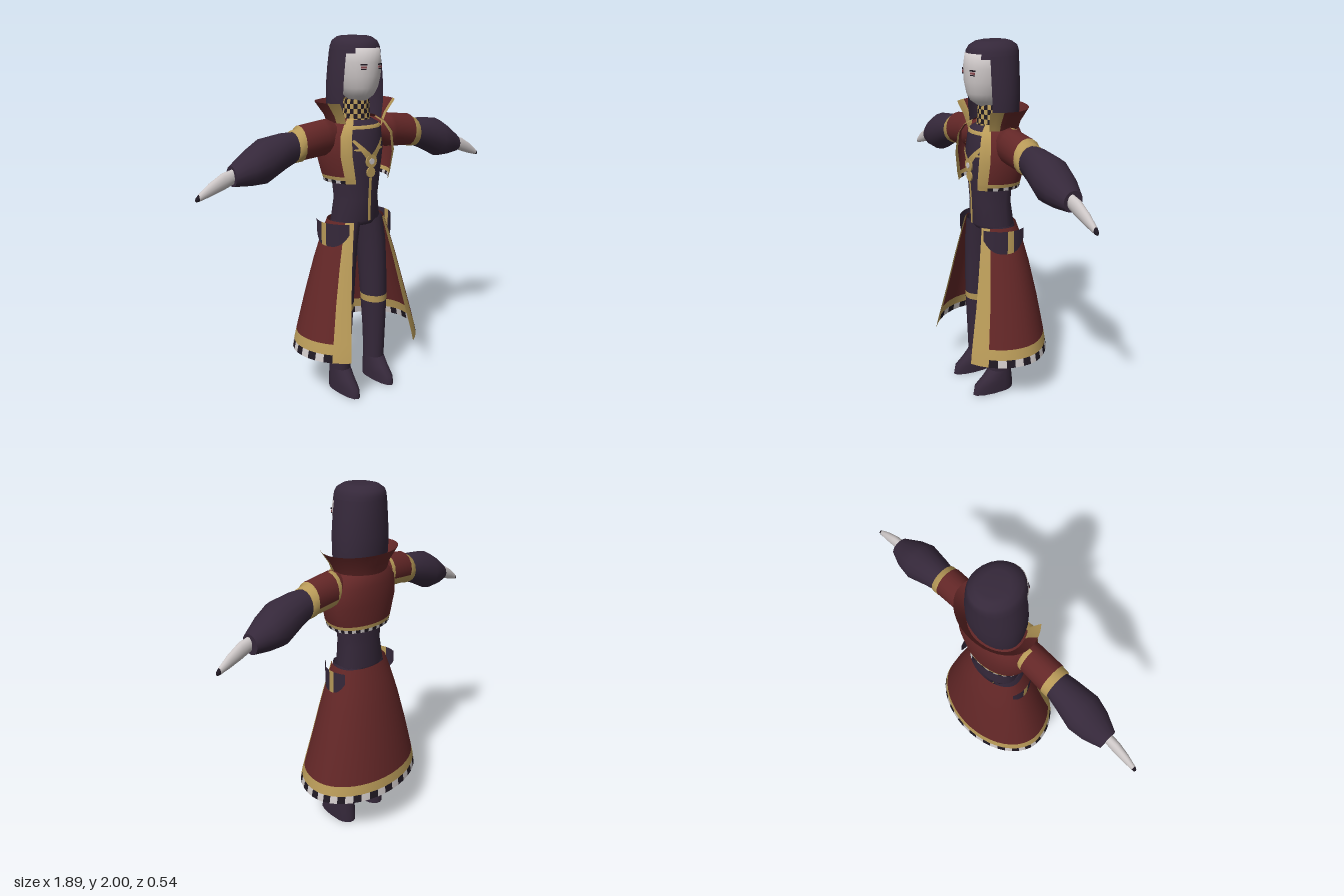
import * as THREE from 'three';

const D = Math.PI / 180;
const mat = (name, color) => {
  const m = new THREE.MeshStandardMaterial({ color, side: THREE.DoubleSide });
  m.name = name;
  return m;
};
const M = {
  dark: mat('dark purple cloth', 0x35283a),
  red: mat('deep red cloth', 0x632727),
  gold: mat('gold trim', 0xb89a58),
  pale: mat('pale skin', 0xccc6c6),
  ink: mat('near black', 0x1f1822),
  rouge: mat('eye red', 0x8a4a50),
};

// Grid surface: nu columns, nv rows, one colour per cell
function surf(name, nu, nv, point, color, { closed = false, flip = false } = {}) {
  const cols = closed ? nu : nu + 1, pos = [], buckets = {};
  for (let j = 0; j <= nv; j++) for (let i = 0; i < cols; i++) pos.push(...point(i / nu, j));
  for (let j = 0; j < nv; j++) for (let i = 0; i < nu; i++) {
    const a = j * cols + i, b = j * cols + (i + 1) % cols, c = b + cols, d = a + cols;
    const key = typeof color === 'string' ? color : color(i, j);
    (buckets[key] ??= []).push(...(flip ? [a, c, b, a, d, c] : [a, b, c, a, c, d]));
  }
  const g = new THREE.BufferGeometry(), keys = Object.keys(buckets), index = [];
  g.setAttribute('position', new THREE.Float32BufferAttribute(pos, 3));
  keys.forEach((k, n) => {
    g.addGroup(index.length, buckets[k].length, n);
    index.push(...buckets[k]);
  });
  g.setIndex(index);
  g.computeVertexNormals();
  const mesh = new THREE.Mesh(g, keys.map(k => M[k]));
  mesh.name = name;
  return mesh;
}

// Upright shell; rows from bottom to top are [y, half width, front depth, back depth]
function shell(name, rows, color, { a0 = 0, a1 = 360, n = 20, cx = 0, cz = 0, flip = false } = {}) {
  const closed = a1 - a0 === 360;
  return surf(name, n, rows.length - 1, (u, j) => {
    const t = (a0 + (a1 - a0) * u) * D, [y, rx, rf, rb, dx = 0] = rows[j], c = Math.cos(t);
    return [cx + dx + rx * Math.sin(t), y, cz + c * (c > 0 ? rf : rb)];
  }, color, { closed, flip });
}

// Sideways tube; rows outwards are [x, centre y, half height, half depth]
function limb(name, s, rows, color, cz = 0.022) {
  return surf(name, 16, rows.length - 1, (u, j) => {
    const [x, y, ry, rz] = rows[j], t = u * 360 * D;
    return [s * x, y + ry * Math.cos(t), cz + rz * Math.sin(t)];
  }, color, { closed: true, flip: s < 0 });
}

const TORSO = [
  [0.98, 0, 0, 0], [1.0, 0.13, 0.11, 0.08], [1.03, 0.145, 0.135, 0.095], [1.15, 0.127, 0.135, 0.078],
  [1.3, 0.145, 0.145, 0.08], [1.42, 0.16, 0.152, 0.09], [1.53, 0.15, 0.135, 0.085],
  [1.548, 0.14, 0.125, 0.08], [1.585, 0.07, 0.08, 0.05],
];
function torsoZ(x, y) {
  const k = Math.max(1, TORSO.findIndex(r => r[0] >= y)), a = TORSO[k - 1], b = TORSO[k];
  const f = (y - a[0]) / (b[0] - a[0]), rx = a[1] + (b[1] - a[1]) * f, rf = a[2] + (b[2] - a[2]) * f;
  return rf * Math.sqrt(Math.max(0, 1 - (x / rx) ** 2));
}
// Painted ribbon following the chest
function ribbon(name, ax, ay, bx, by, w0, w1 = w0) {
  const l = Math.hypot(bx - ax, by - ay), nx = (by - ay) / l, ny = -(bx - ax) / l;
  return surf(name, 2, 6, (u, j) => {
    const f = j / 6, w = (w0 + (w1 - w0) * f) * (u - 0.5);
    const x = ax + (bx - ax) * f + nx * w, y = ay + (by - ay) * f + ny * w;
    return [x, y, torsoZ(x, y) + 0.005];
  }, 'gold');
}
function plate(name, x, y, z, w, h, m, ry = 0) {
  const p = new THREE.Mesh(new THREE.BoxGeometry(w, h, 0.006), M[m]);
  p.position.set(x, y, z);
  p.rotation.y = ry;
  p.name = name;
  return p;
}

export function createModel() {
  const root = new THREE.Group();
  root.name = 'robedFigure';
  const add = (...m) => root.add(...m);
  const open = { a0: 35, a1: 325, n: 35 };
  const edge = i => i < 2 || i > 32;
  const check = i => (i % 2 ? 'pale' : 'ink');

  // Body, neckline and patterned neck
  add(shell('torso', TORSO, (i, j) => (j === 6 ? 'gold' : 'dark')));
  add(shell('neck', [[1.55, 0.085, 0.085, 0.06], [1.58, 0.08, 0.078, 0.06], [1.605, 0.076, 0.075, 0.06],
    [1.63, 0.074, 0.074, 0.06], [1.655, 0.074, 0.074, 0.06], [1.68, 0.07, 0.07, 0.06]],
  (i, j) => ((i + j) % 2 ? 'gold' : 'ink'), { cz: 0.015, n: 24 }));

  // Chest ornament and front fastening
  add(ribbon('fastening', 0, 1.03, 0, 1.27, 0.018));
  for (const s of [1, -1]) {
    const a = ribbon('chestBranch', s * 0.015, 1.385, s * 0.095, 1.475, 0.036, 0.014);
    const b = ribbon('chestTwig', s * 0.05, 1.425, s * 0.095, 1.425, 0.018, 0.006);
    add(a, b);
  }
  for (const [y, r, m, dz] of [[1.36, 0.036, 'gold', 0], [1.36, 0.016, 'pale', 0.004], [1.3, 0.028, 'gold', 0]]) {
    const p = new THREE.Mesh(new THREE.CylinderGeometry(r, r, 0.008, 12).rotateX(Math.PI / 2), M[m]);
    p.position.set(0, y, torsoZ(0, y) + 0.004 + dz);
    p.name = 'pendant';
    add(p);
  }

  // Short open jacket and flared collar
  add(shell('jacket', [[1.25, 0.185, 0.195, 0.12], [1.268, 0.19, 0.197, 0.122], [1.288, 0.198, 0.2, 0.124],
    [1.4, 0.23, 0.2, 0.135], [1.5, 0.222, 0.185, 0.135], [1.555, 0.175, 0.155, 0.12], [1.585, 0.12, 0.11, 0.1]],
  (i, j) => (edge(i) || j === 1 ? 'gold' : j === 0 ? check(i) : 'red'), open));
  add(shell('collar', [[1.53, 0.145, 0.15, 0.115], [1.6, 0.175, 0.17, 0.13], [1.67, 0.228, 0.2, 0.165]],
    i => (i < 2 || i > 23 ? 'gold' : 'red'), { a0: 52, a1: 308, n: 26 }));

  // Long open coat skirt with gold borders and checked hem
  add(shell('coatSkirt', [[0.29, 0.39, 0.335, 0.27], [0.333, 0.38, 0.327, 0.264], [0.39, 0.365, 0.313, 0.256],
    [0.6, 0.308, 0.258, 0.22], [0.8, 0.25, 0.213, 0.177], [0.92, 0.21, 0.185, 0.145], [1.03, 0.17, 0.16, 0.105]],
  (i, j) => (edge(i) || j === 1 ? 'gold' : j === 0 ? check(i) : 'red'), open));

  for (const s of [1, -1]) {
    const flip = s < 0;
    // Hip panels with rounded lower edge
    add(surf('hipPanel', 13, 2, (u, j) => {
      const t = (38 + 74 * u) * D, low = 0.9 + 0.07 * Math.abs(2 * u - 1) ** 3;
      const y = low + (1.03 - low) * j / 2;
      return [s * 0.222 * Math.sin(t), y, Math.cos(t) * 0.18];
    }, i => (i === 7 || i === 8 ? 'gold' : 'dark'), { flip }));

    // Legs with knee band
    const leg = [[0.14, 0.058, 0.075, 0.06, 0.125], [0.3, 0.063, 0.08, 0.063, 0.125], [0.505, 0.073, 0.088, 0.075, 0.122],
      [0.545, 0.075, 0.09, 0.078, 0.121], [0.75, 0.077, 0.094, 0.09, 0.11], [0.9, 0.076, 0.098, 0.1, 0.098],
      [1.03, 0.07, 0.1, 0.105, 0.075]];
    add(shell('leg', leg.map(r => [...r.slice(0, 4), s * r[4]]), (i, j) => (j === 2 ? 'gold' : 'dark'),
      { n: 16, cz: 0.025 }));

    // Boots
    add(shell('boot', [[0, 0, 0, 0], [0, 0.055, 0.185, 0.075], [0, 0.055, 0.185, 0.075], [0.05, 0.057, 0.175, 0.072],
      [0.09, 0.058, 0.125, 0.067], [0.14, 0.058, 0.075, 0.06]], 'dark', { n: 16, cx: s * 0.125, cz: 0.025 }));

    // Short red sleeve with gold band
    add(limb('shoulderSleeve', s, [[0.13, 1.495, 0.06, 0.06], [0.2, 1.493, 0.095, 0.075], [0.225, 1.491, 0.094, 0.077],
      [0.365, 1.478, 0.09, 0.08], [0.365, 1.468, 0.085, 0.08], [0.403, 1.463, 0.083, 0.08], [0.403, 1.463, 0.06, 0.06]],
    (i, j) => (j > 2 || (j === 1 && i > 6) || (j === 2 && (i === 9 || i === 10)) ? 'gold' : 'red')));

    // Full lower sleeve
    add(limb('lowerSleeve', s, [[0.39, 1.463, 0.075, 0.07], [0.46, 1.45, 0.09, 0.083], [0.58, 1.412, 0.112, 0.105],
      [0.66, 1.388, 0.088, 0.09], [0.75, 1.36, 0.052, 0.053], [0.75, 1.36, 0.052, 0.053], [0.75, 1.36, 0, 0]], 'dark'));

    // Tapered hand with dark tip
    add(limb('hand', s, [[0.74, 1.362, 0.036, 0.024], [0.8, 1.344, 0.041, 0.025], [0.87, 1.313, 0.032, 0.02],
      [0.928, 1.283, 0.017, 0.012], [0.942, 1.275, 0.01, 0.008], [0.947, 1.273, 0, 0]],
    (i, j) => (j > 2 ? 'ink' : 'pale'), 0.03));

    // Eyes
    add(plate('eyelid', s * 0.052, 1.86, 0.152, 0.036, 0.007, 'ink', s * 0.4),
      plate('eye', s * 0.052, 1.847, 0.152, 0.03, 0.01, 'rouge', s * 0.4),
      plate('lowerLid', s * 0.052, 1.837, 0.152, 0.026, 0.004, 'ink', s * 0.4));
  }

  // Face
  add(shell('face', [[1.665, 0, 0, 0], [1.673, 0.045, 0.06, 0.05], [1.7, 0.077, 0.1, 0.07], [1.74, 0.098, 0.122, 0.09],
    [1.8, 0.114, 0.133, 0.1], [1.87, 0.118, 0.135, 0.1], [1.94, 0.108, 0.125, 0.09], [1.95, 0, 0, 0]],
  'pale', { n: 24, cz: 0.03 }));

  // Hair: closed cap with fringe, and long sides open at the front
  add(shell('hairCap', [[1.915, 0.132, 0.152, 0.13], [1.95, 0.124, 0.148, 0.13], [1.975, 0.112, 0.133, 0.123],
    [1.994, 0.085, 0.1, 0.095], [2.0, 0.06, 0.07, 0.07], [2.0, 0, 0, 0]], 'dark', { n: 24 }));
  add(shell('longHair', [[1.57, 0.15, 0.14, 0.11], [1.65, 0.158, 0.15, 0.127], [1.75, 0.156, 0.155, 0.13],
    [1.85, 0.144, 0.155, 0.13], [1.93, 0.13, 0.15, 0.13]], 'dark', { a0: 57, a1: 303, n: 20 }));
  return root;
}
